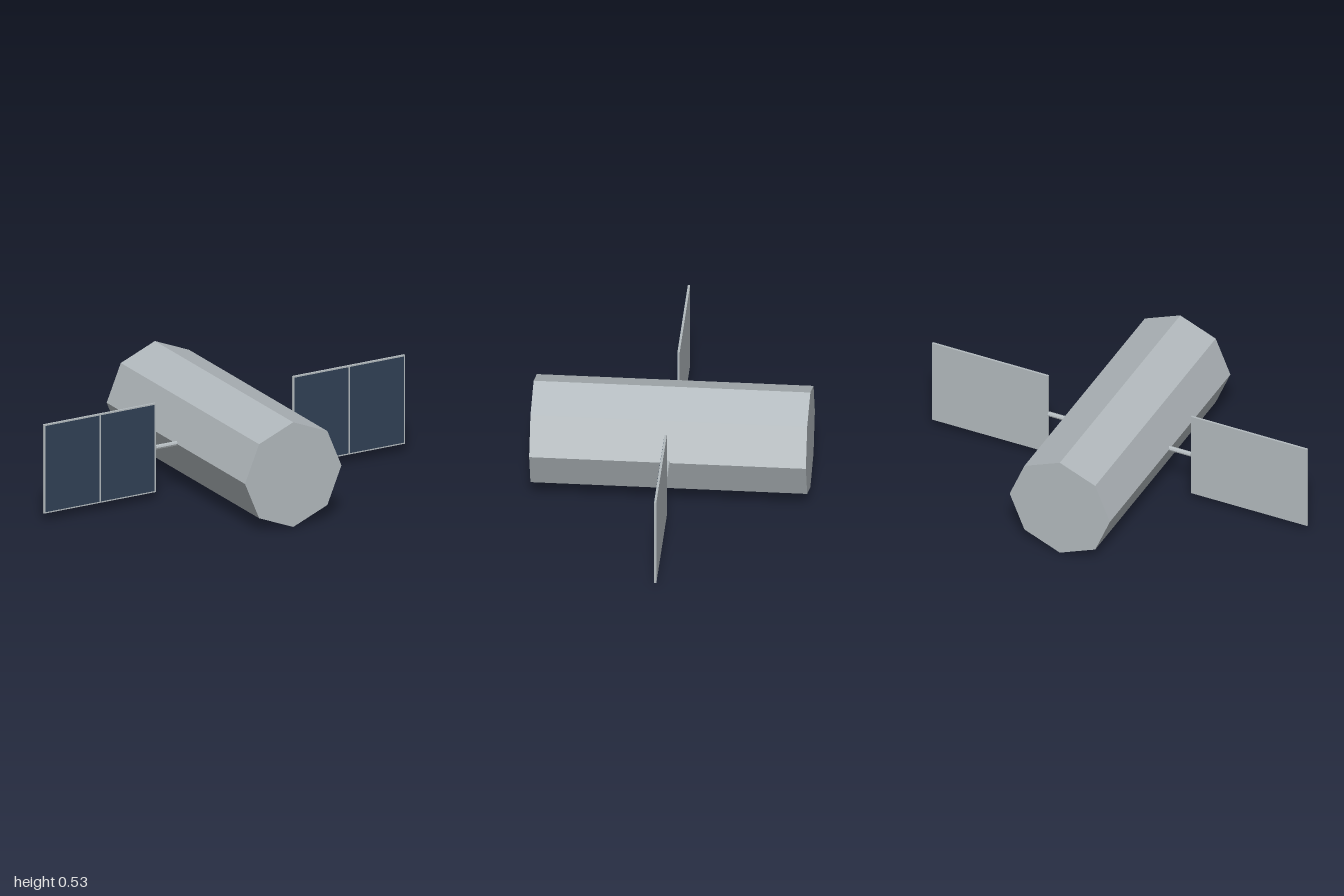
import * as THREE from 'three';

export function createModel() {
  const group = new THREE.Group();
  const mat = (name, color) => Object.assign(new THREE.MeshStandardMaterial({ color, flatShading: true }), { name });
  const hull = mat('hull grey', 0xb2b9bd);
  const cell = mat('solar cell blue', 0x304055);
  const cy = 0.267;

  const add = (name, geometry, material, x, y, z) => {
    const mesh = new THREE.Mesh(geometry, material);
    mesh.name = name;
    mesh.position.set(x, y, z);
    group.add(mesh);
    return mesh;
  };

  // Eight-sided body lying along z, one corner straight up
  add('body', new THREE.CylinderGeometry(0.267, 0.267, 1.333, 8).rotateX(Math.PI / 2), hull, 0, cy, 0);

  for (const [side, s] of [['left', 1], ['right', -1]]) {
    // Thin boom from the body to the panel
    add(side + 'Boom', new THREE.CylinderGeometry(0.012, 0.012, 0.16, 8).rotateZ(Math.PI / 2), hull, s * 0.3, cy, 0);
    // Panel backing, which shows as the frame around the cells
    add(side + 'PanelFrame', new THREE.BoxGeometry(0.62, 0.453, 0.011), hull, s * 0.69, cy, -0.0005);
    // Two cell plates on the front face only
    for (const [half, d] of [['Inner', -1], ['Outer', 1]]) {
      add(side + half + 'Cells', new THREE.BoxGeometry(0.298, 0.439, 0.002), cell, s * (0.69 + d * 0.1535), cy, 0.0055);
    }
  }
  return group;
}
